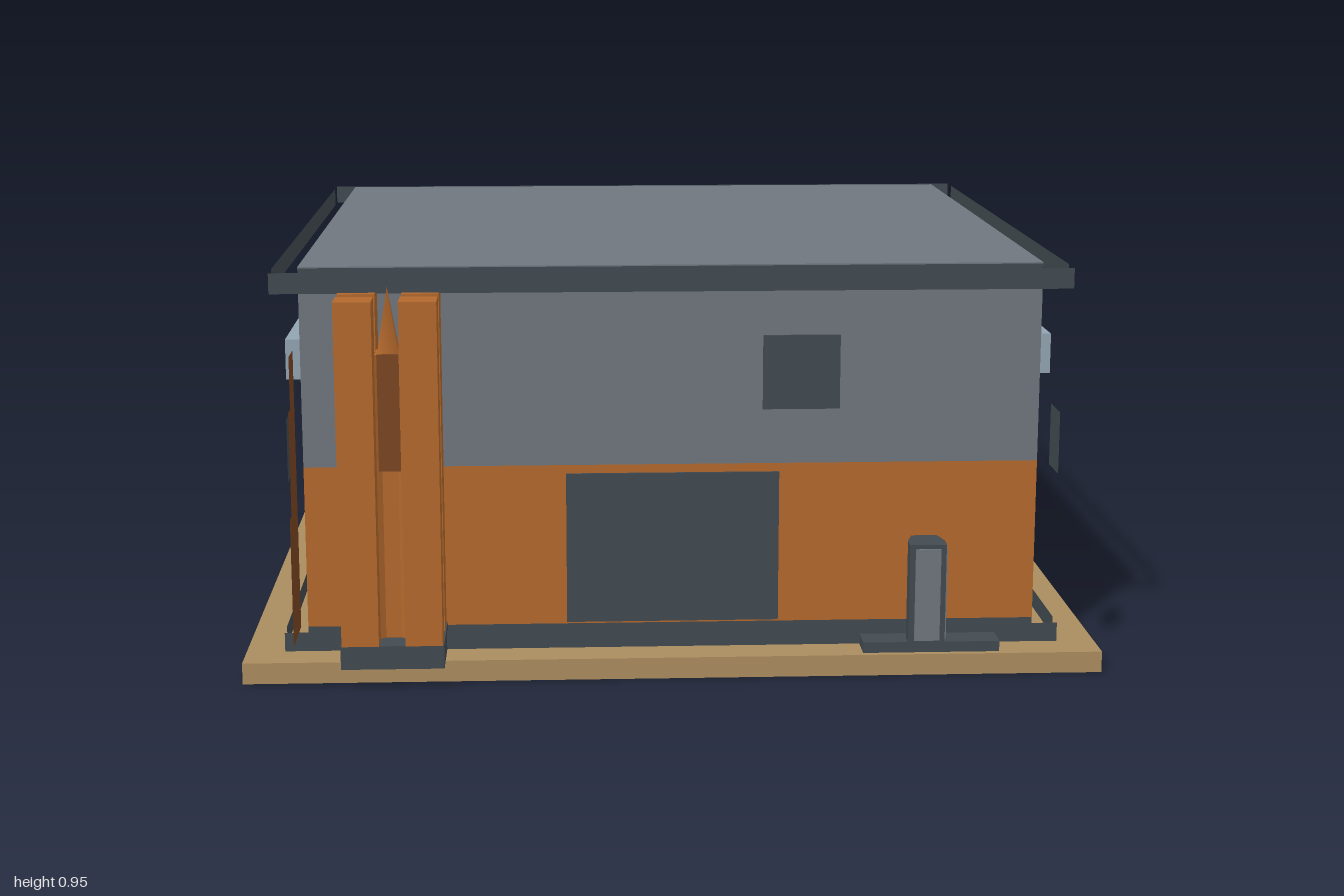
import * as THREE from 'three';

const mat = (name, color, side = THREE.FrontSide) => {
  const m = new THREE.MeshStandardMaterial({ color, side });
  m.name = name;
  return m;
};

export function createModel() {
  const tan = mat('tan', 0xab8d5f), orange = mat('orange', 0xb3682c);
  const grey = mat('grey', 0x70767e), pale = mat('paleBlue', 0x92a4b2);
  const dark = mat('charcoal', 0x424a50, THREE.DoubleSide);
  const brown = mat('brown', 0x7a4522, THREE.DoubleSide);
  const model = new THREE.Group();
  model.name = 'building';

  const add = (name, geometry, material, parent = model) => {
    const mesh = new THREE.Mesh(geometry, material);
    mesh.name = name;
    parent.add(mesh);
    return mesh;
  };
  // Box given by its limits on each axis
  const box = (name, material, [x0, x1], [y0, y1], [z0, z1], parent) => {
    const mesh = add(name, new THREE.BoxGeometry(x1 - x0, y1 - y0, z1 - z0), material, parent);
    mesh.position.set((x0 + x1) / 2, (y0 + y1) / 2, (z0 + z1) / 2);
    return mesh;
  };
  // Upright sheet, facing z or x
  const sheetZ = (name, material, [x0, x1], [y0, y1], z) => {
    const mesh = add(name, new THREE.PlaneGeometry(x1 - x0, y1 - y0), material);
    mesh.position.set((x0 + x1) / 2, (y0 + y1) / 2, z);
  };
  const sheetX = (name, material, x, [y0, y1], [z0, z1]) => {
    const mesh = add(name, new THREE.PlaneGeometry(z1 - z0, y1 - y0), material);
    mesh.rotation.y = Math.PI / 2;
    mesh.position.set(x, (y0 + y1) / 2, (z0 + z1) / 2);
  };

  // Ground slab and main body in layers
  const wx = [-0.86, 0.86], wz = [-0.845, 0.785];
  box('groundSlab', tan, [-1, 1], [0, 0.05], [-0.98, 0.92]);
  box('plinth', dark, wx, [0.05, 0.095], wz);
  box('lowerWall', orange, wx, [0.095, 0.48], wz);
  box('upperWall', grey, wx, [0.48, 0.9], wz);
  box('roofEdge', dark, wx, [0.9, 0.948], wz);
  box('roof', grey, wx, [0.948, 0.951], wz);

  // Thin trim sheets standing clear of the walls, at the eaves and at the foot
  for (const [name, y, out] of [['eavesTrim', [0.898, 0.946], 0.06], ['footTrim', [0.051, 0.096], 0.05]]) {
    const reach = 0.86 + out;
    sheetZ(name + 'Front', dark, [-reach, reach], y, wz[1] + out);
    sheetZ(name + 'Back', dark, [-reach, reach], y, wz[0] - out);
    for (const s of [-1, 1]) sheetX(name + 'Side', dark, s * reach, y, wz);
  }

  // Long projecting windows on the sides and the back
  const wy = [0.67, 0.765];
  box('leftWindow', pale, [0.86, 0.905], wy, [-0.75, 0.685]);
  box('rightWindow', pale, [-0.905, -0.86], wy, [-0.75, 0.685]);
  box('backWindow', pale, [-0.77, 0.77], wy, [-0.89, -0.845]);

  // Front door, front window and hanging signs at the corners
  box('door', dark, [-0.25, 0.25], [0.1, 0.46], [0.785, 0.791]);
  box('frontWindow', dark, [0.21, 0.39], [0.61, 0.785], [0.785, 0.791]);
  for (const s of [-1, 1]) sheetX('cornerSign', dark, s * 0.88, [0.48, 0.625], [0.825, 0.925]);

  // Small post on a flat foot
  box('postFoot', dark, [0.44, 0.76], [0.05, 0.075], [0.83, 0.905]);
  const outline = [[0.56, 0.82], [0.62, 0.82], [0.632, 0.87], [0.63, 0.908], [0.545, 0.908], [0.545, 0.87]];
  const postShape = new THREE.Shape(outline.map(([x, z]) => new THREE.Vector2(x, -z)));
  const post = add('post', new THREE.ExtrudeGeometry(postShape, { depth: 0.235, bevelEnabled: false }), dark);
  post.rotation.x = -Math.PI / 2;
  post.position.y = 0.075;
  box('postFrontPanel', grey, [0.558, 0.617], [0.08, 0.3], [0.908, 0.913]);
  box('postSidePanel', grey, [0.631, 0.634], [0.08, 0.3], [0.872, 0.9]);

  // Tower of four pillars around a pointed core
  const tower = new THREE.Group();
  tower.name = 'tower';
  model.add(tower);
  box('towerFoot', dark, [-0.768, -0.532], [0.05, 0.105], [0.79, 0.977], tower);
  for (const x of [[-0.765, -0.68], [-0.62, -0.535]])
    for (const z of [[0.787, 0.865], [0.905, 0.98]])
      box('pillar', orange, x, [0.105, 0.9], z, tower);
  // Crossed braces linking the pillars
  for (const s of [-1, 1]) {
    const brace = box('brace', orange, [-0.74, -0.56], [0.105, 0.77], [0.875, 0.895], tower);
    brace.rotation.y = s * 0.62;
  }
  box('core', orange, [-0.675, -0.625], [0.105, 0.77], [0.862, 0.91], tower);
  const spike = add('spike', new THREE.ConeGeometry(0.034, 0.15, 4), orange, tower);
  spike.rotation.y = Math.PI / 4;
  spike.position.set(-0.65, 0.845, 0.886);
  box('coreInset', brown, [-0.675, -0.625], [0.5, 0.77], [0.91, 0.916], tower);

  // Stepped fin beside the tower
  const fin = new THREE.Shape([[0.8, 0.1], [0.96, 0.1], [0.96, 0.4], [0.925, 0.4], [0.925, 0.64],
    [0.885, 0.64], [0.885, 0.76], [0.8, 0.76]].map(([z, y]) => new THREE.Vector2(-z, y)));
  const finMesh = add('steppedFin', new THREE.ShapeGeometry(fin), brown, tower);
  finMesh.rotation.y = Math.PI / 2;
  finMesh.position.x = -0.875;

  return model;
}
